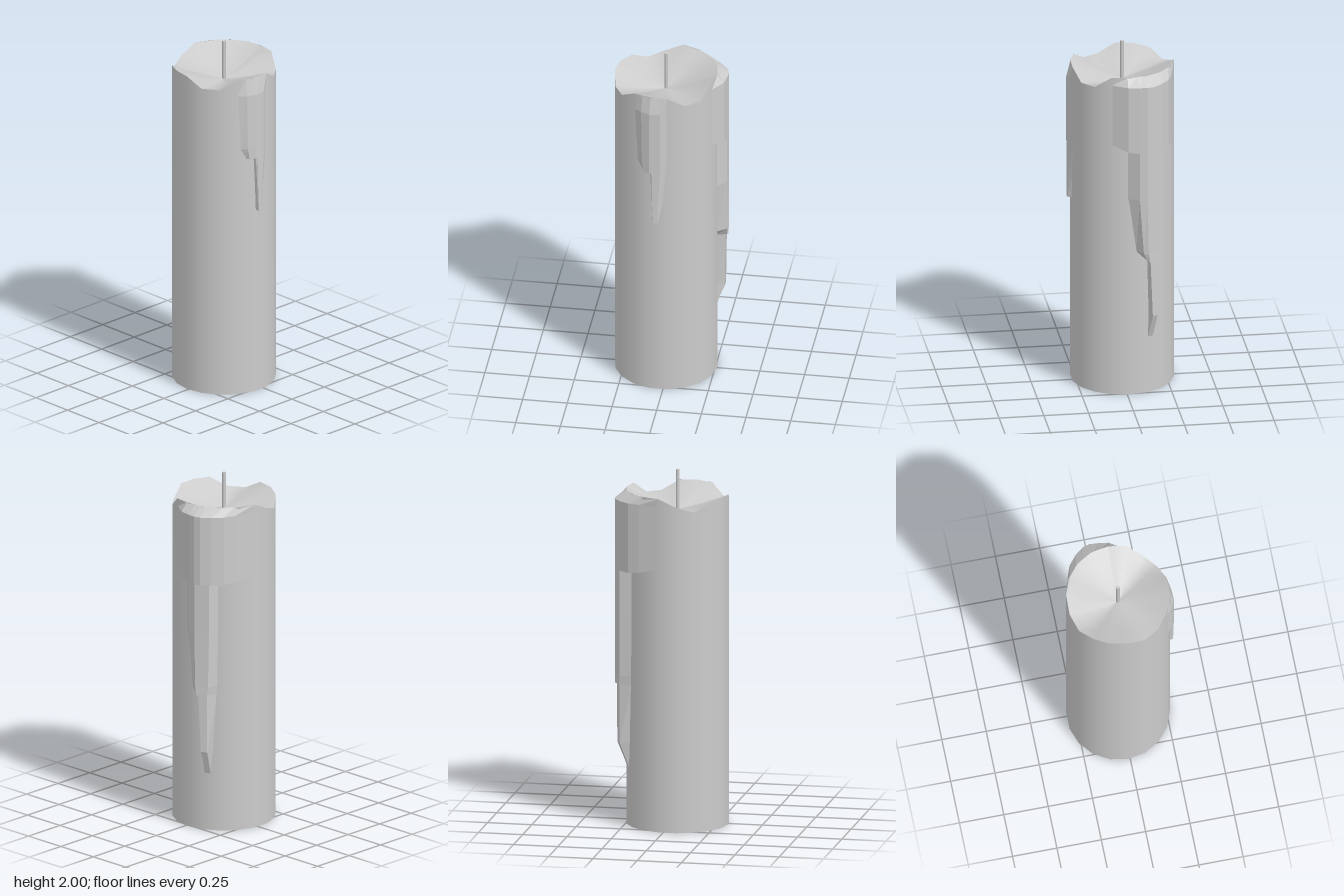
import * as THREE from 'three';

const SIDES = 18, R = 0.287, CX = -0.025, CZ = -0.012, BOWL_Y = 1.775;
const rad = THREE.MathUtils.degToRad;

// rim height at every 20 degrees, from +x towards +z
const RIM = [1.89, 1.89, 1.82, 1.82, 1.875, 1.88, 1.875, 1.82, 1.82,
  1.87, 1.87, 1.86, 1.815, 1.845, 1.89, 1.89, 1.89, 1.89];
const rimAt = (x, z) => {
  const k = Math.round(Math.atan2(z, x) / (2 * Math.PI / SIDES));
  return RIM[(k + SIDES) % SIDES];
};

// radius of the 18-sided body at an angle in degrees
const surface = (a) => {
  const m = ((a % 20) + 20) % 20 - 10;
  return R * Math.cos(rad(10)) / Math.cos(rad(m));
};

function addMesh(group, name, geometry, flatShading = false, side = THREE.FrontSide) {
  const mesh = new THREE.Mesh(geometry,
    new THREE.MeshStandardMaterial({ color: 0xcccccc, flatShading, side }));
  mesh.name = name;
  group.add(mesh);
  return mesh;
}

// skin over rows, each with a height (or heights), angles and offsets from the body
function dripGeometry(rows) {
  const n = rows[0].a.length, pos = [], idx = [];
  for (const { y, a, d } of rows) {
    for (let i = 0; i < n; i++) {
      const r = surface(a[i]) + d[i];
      pos.push(r * Math.cos(rad(a[i])), Array.isArray(y) ? y[i] : y, r * Math.sin(rad(a[i])));
    }
  }
  for (let j = 0; j < rows.length - 1; j++) {
    for (let i = 0; i < n - 1; i++) {
      const p = j * n + i, q = p + n;
      idx.push(p, q, p + 1, p + 1, q, q + 1);
    }
  }
  const g = new THREE.BufferGeometry();
  g.setAttribute('position', new THREE.Float32BufferAttribute(pos, 3));
  g.setIndex(idx);
  g.computeVertexNormals();
  return g;
}

export function createModel() {
  const model = new THREE.Group();
  model.name = 'candle';
  const candle = new THREE.Group();
  candle.name = 'waxAndWick';
  candle.position.set(CX, 0, CZ);
  model.add(candle);

  // wax body with an uneven top edge
  const body = new THREE.CylinderGeometry(R, R, 2, SIDES, 1, true, Math.PI / 2);
  const bp = body.attributes.position;
  for (let i = 0; i < bp.count; i++) {
    bp.setY(i, bp.getY(i) > 0 ? rimAt(bp.getX(i), bp.getZ(i)) : 0);
  }
  addMesh(candle, 'waxBody', body);
  addMesh(candle, 'base', new THREE.CircleGeometry(R, SIDES).rotateX(Math.PI / 2));

  // melted bowl sinking to the wick
  const bowl = new THREE.RingGeometry(0.001, R, SIDES, 4).rotateX(-Math.PI / 2);
  const wp = bowl.attributes.position;
  for (let i = 0; i < wp.count; i++) {
    const x = wp.getX(i), z = wp.getZ(i), t = Math.hypot(x, z) / R;
    wp.setY(i, THREE.MathUtils.lerp(BOWL_Y, rimAt(x, z), Math.pow(t, 1.3)));
  }
  bowl.computeVertexNormals();
  addMesh(candle, 'meltedBowl', bowl, false, THREE.DoubleSide);

  // wick
  addMesh(candle, 'wick', new THREE.CylinderGeometry(0.01, 0.01, 0.26, 12)).position.y = 1.87;

  // front drip: wide at the rim, narrowing in a step
  const fd = [-0.002, 0.017, 0.023, 0.02, -0.002], flush = [0, 0, 0, 0, 0];
  const sunk = [-0.01, -0.01, -0.01, -0.01, -0.01];
  addMesh(candle, 'frontDrip', dripGeometry([
    { y: 1.877, a: [120, 109, 99, 88, 80], d: flush },
    { y: 1.78, a: [120, 109, 99, 88, 80], d: fd },
    { y: 1.46, a: [116, 108, 99, 88, 80], d: fd },
    { y: 1.4, a: [109, 106, 99, 88, 81], d: fd },
    { y: 1.4, a: [99.5, 98.5, 97, 88, 81], d: fd },
    { y: 1.2, a: [97, 96.5, 96, 90, 85], d: fd },
    { y: 1.08, a: [96, 95.5, 95, 91, 89], d: fd },
    { y: 1.08, a: [96, 95.5, 95, 91, 89], d: sunk },
  ]), true, THREE.DoubleSide);

  // collar of spilled wax around the side
  const ca = [20, 2, -9, -16, -22, -32, -44, -56, -80];
  const cd = [-0.002, 0.038, 0.054, 0.065, 0.066, 0.058, 0.042, 0.018, -0.002];
  const low = [1.49, 1.46, 1.45, 1.45, 1.45, 1.45, 1.45, 1.46, 1.49];
  addMesh(candle, 'sideCollar', dripGeometry([
    { y: 1.89, a: ca, d: ca.map(() => 0) },
    { y: 1.845, a: ca, d: cd },
    { y: low, a: ca, d: cd },
    { y: low, a: ca, d: ca.map(() => -0.01) },
  ]), true, THREE.DoubleSide);

  // long streak running down from the collar
  const sd = [-0.002, 0.053, 0.064, 0.056, -0.002];
  const thin = [-0.002, 0.048, 0.054, 0.052, -0.002];
  addMesh(candle, 'sideStreak', dripGeometry([
    { y: 1.46, a: [2, -9, -16, -30, -38], d: sd },
    { y: 1.17, a: [2, -9, -16, -30, -38], d: sd },
    { y: 0.85, a: [-8, -13, -17, -29, -37], d: sd },
    { y: 0.8, a: [-18, -17, -18, -28, -36], d: sd },
    { y: 0.8, a: [-21, -20, -19.5, -28, -36], d: thin },
    { y: 0.47, a: [-23, -22.5, -22, -28, -32], d: thin },
    { y: 0.33, a: [-22, -24, -26, -29, -31], d: flush },
  ]), true, THREE.DoubleSide);

  return model;
}
